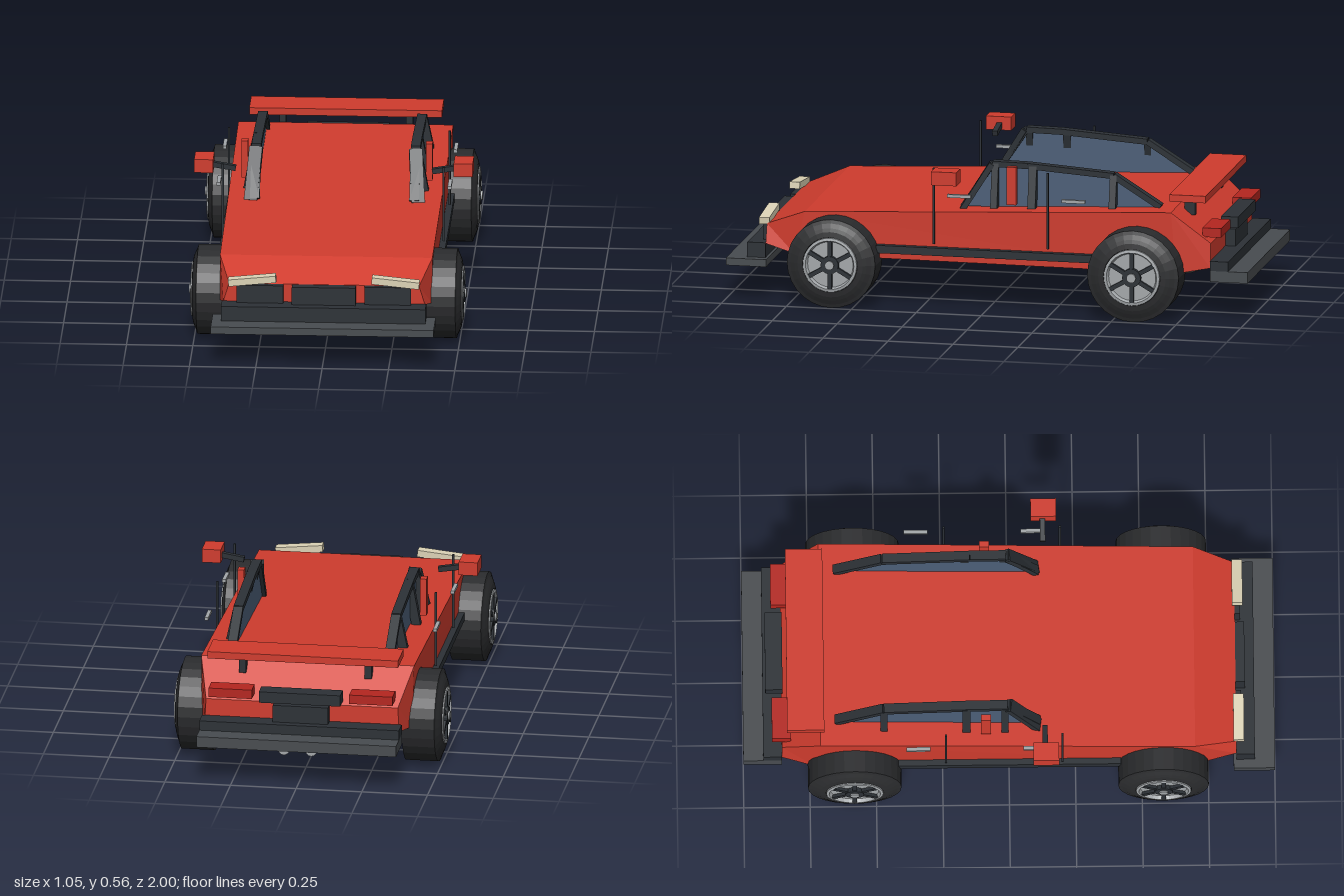
import * as THREE from 'three';

const mat = (color, extra = {}) => new THREE.MeshStandardMaterial({ color, flatShading: true, ...extra });
const RED = mat(0xd03c2e), DARK = mat(0x2c3136), BUMPER = mat(0x484c50), TYRE = mat(0x2a2b2d);
const METAL = mat(0xa4a8ab), CREAM = mat(0xdcd3b6), TAIL = mat(0xb5261f);
const GLASS = mat(0x4c5f78, { side: THREE.DoubleSide });

function add(parent, name, geometry, material) {
  const mesh = new THREE.Mesh(geometry, material);
  mesh.name = name;
  parent.add(mesh);
  return mesh;
}

// Box given by its limits on each axis
function box(parent, name, material, [x0, x1], [y0, y1], [z0, z1]) {
  const mesh = add(parent, name, new THREE.BoxGeometry(Math.abs(x1 - x0), y1 - y0, z1 - z0), material);
  mesh.position.set((x0 + x1) / 2, (y0 + y1) / 2, (z0 + z1) / 2);
  return mesh;
}

// Square bar between two points
function beam(parent, name, material, a, b, w, h = w) {
  const from = new THREE.Vector3(...a), to = new THREE.Vector3(...b);
  const mesh = new THREE.Mesh(new THREE.BoxGeometry(w, h, from.distanceTo(to)), material);
  mesh.name = name;
  mesh.position.copy(from).lerp(to, 0.5);
  mesh.lookAt(to);
  parent.add(mesh);
}

// Wedge hull lofted through four cross-sections, back to front
function bodyGeometry() {
  const sections = [
    { zb: -0.855, zt: -0.855, wb: 0.37, wt: 0.365, b: 0.195, t: 0.29 },
    { zb: -0.73, zt: -0.71, wb: 0.4, wt: 0.405, b: 0.175, t: 0.41 },
    { zb: 0.74, zt: 0.7, wb: 0.4, wt: 0.4, b: 0.182, t: 0.347 },
    { zb: 0.855, zt: 0.855, wb: 0.38, wt: 0.358, b: 0.212, t: 0.285 },
  ];
  const pos = [], index = [];
  for (const s of sections) {
    pos.push(-s.wb, s.b, s.zb, s.wb, s.b, s.zb, s.wt, s.t, s.zt, -s.wt, s.t, s.zt);
  }
  for (let i = 0; i < 3; i++) {
    for (let j = 0; j < 4; j++) {
      const a = i * 4 + j, b = i * 4 + (j + 1) % 4;
      index.push(a, b, b + 4, a, b + 4, a + 4);
    }
  }
  index.push(0, 2, 1, 0, 3, 2, 12, 13, 14, 12, 14, 15);
  const indexed = new THREE.BufferGeometry();
  indexed.setAttribute('position', new THREE.Float32BufferAttribute(pos, 3));
  indexed.setIndex(index);
  const g = indexed.toNonIndexed();
  g.computeVertexNormals();
  return g;
}

// Wheel with its outer face towards +x, origin at the hub
function makeWheel(name, r) {
  const wheel = new THREE.Group();
  wheel.name = name;
  const lathe = pts => new THREE.LatheGeometry(pts.map(p => new THREE.Vector2(p[0], p[1])), 28).rotateZ(-Math.PI / 2);
  add(wheel, 'tyre', lathe([[0, 0.365], [r, 0.365], [r, 0.488], [r * 0.92, 0.492], [r * 0.82, 0.5],
    [r * 0.74, 0.505], [r * 0.62, 0.508], [r * 0.6, 0.495], [0, 0.495]]), TYRE);
  add(wheel, 'rim', lathe([[r * 0.5, 0.494], [r * 0.61, 0.494], [r * 0.61, 0.512], [r * 0.55, 0.514], [r * 0.5, 0.494]]), METAL);
  add(wheel, 'brakeDisc', lathe([[0, 0.49], [r * 0.52, 0.49], [r * 0.52, 0.5], [0, 0.5]]), METAL);
  for (let i = 0; i < 6; i++) {
    const a = i * Math.PI / 3 + Math.PI / 6;
    const at = d => [0.507, Math.sin(a) * d, Math.cos(a) * d];
    beam(wheel, 'spoke', DARK, at(r * 0.1), at(r * 0.55), 0.012, 0.016);
  }
  add(wheel, 'hub', lathe([[0, 0.495], [r * 0.2, 0.495], [r * 0.2, 0.517], [0, 0.517]]), DARK);
  add(wheel, 'hubCap', lathe([[0, 0.515], [r * 0.1, 0.515], [r * 0.1, 0.523], [0, 0.523]]), METAL);
  return wheel;
}

// Side window: glass, outline rails and leaning pillars
function makeWindow(s) {
  const group = new THREE.Group();
  group.name = s > 0 ? 'leftWindow' : 'rightWindow';
  const outline = [[0.11, 0.375], [-0.005, 0.545], [-0.14, 0.543], [-0.47, 0.52], [-0.65, 0.408]];
  const shape = new THREE.Shape(outline.map(p => new THREE.Vector2(...p)));
  const glass = add(group, 'glass', new THREE.ExtrudeGeometry(shape, { depth: 0.012, bevelEnabled: false }).rotateY(-Math.PI / 2), GLASS);
  glass.position.x = s * 0.302 + 0.006;
  for (let i = 0; i < 4; i++) {
    const [za, ya] = outline[i], [zb, yb] = outline[i + 1];
    beam(group, 'frameRail', DARK, [s * 0.3, ya, za], [s * 0.3, yb, zb], 0.036, 0.022);
  }
  for (const [z, top, w] of [[-0.015, 0.545, 0.026], [-0.16, 0.54, 0.03], [-0.47, 0.52, 0.026]]) {
    beam(group, 'pillar', DARK, [s * 0.332, 0.378, z], [s * 0.302, top, z], w, 0.034);
  }
  beam(group, 'frontPillar', DARK, [s * 0.315, 0.368, 0.11], [s * 0.3, 0.545, 0], 0.05, 0.022);
  return group;
}

export function createModel() {
  const car = new THREE.Group();
  car.name = 'car';
  add(car, 'body', bodyGeometry(), RED);

  // Front bumper and grille
  box(car, 'frontSplitter', BUMPER, [-0.42, 0.42], [0.13, 0.158], [0.845, 1]);
  box(car, 'frontBumper', DARK, [-0.385, 0.385], [0.158, 0.215], [0.855, 0.925]);
  box(car, 'centreGrille', DARK, [-0.12, 0.12], [0.215, 0.284], [0.85, 0.89]);

  // Rear bumper, plate panel and spoiler
  box(car, 'rearBumper', BUMPER, [-0.38, 0.38], [0.145, 0.187], [-1, -0.855]);
  box(car, 'rearBumperStep', DARK, [-0.38, 0.38], [0.187, 0.224], [-0.925, -0.855]);
  box(car, 'platePanel', DARK, [-0.105, 0.105], [0.222, 0.29], [-0.895, -0.855]);
  box(car, 'rearBar', DARK, [-0.155, 0.155], [0.305, 0.348], [-0.915, -0.85]);
  box(car, 'spoiler', RED, [-0.363, 0.363], [0.443, 0.47], [-0.835, -0.695]);

  for (const s of [1, -1]) {
    const side = new THREE.Group();
    side.name = s > 0 ? 'leftSide' : 'rightSide';
    car.add(side);

    // Wheels
    for (const [name, r, z] of [['frontWheel', 0.17, 0.58], ['rearWheel', 0.176, -0.582]]) {
      const wheel = makeWheel(name, r);
      wheel.position.set(0, r, z);
      if (s < 0) wheel.rotation.y = Math.PI;
      side.add(wheel);
    }

    // Lights and grille panels
    box(side, 'sideGrille', DARK, [s * 0.153, s * 0.328], [0.215, 0.284], [0.85, 0.875]);
    box(side, 'headlight', CREAM, [s * 0.18, s * 0.36], [0.29, 0.316], [0.845, 0.885]).rotation.z = -s * 0.1;
    box(side, 'tailLight', TAIL, [s * 0.185, s * 0.35], [0.31, 0.345], [-0.892, -0.82]);

    // Sill, door lines and handles
    box(side, 'sill', DARK, [s * 0.39, s * 0.425], [0.205, 0.235], [-0.42, 0.42]);
    for (const z of [0.2, -0.238]) box(side, 'doorLine', DARK, [s * 0.412, s * 0.42], [0.25, 0.542], [z - 0.004, z + 0.004]);
    for (const z of [0.098, -0.342]) box(side, 'doorHandle', METAL, [s * 0.428, s * 0.442], [0.436, 0.448], [z - 0.045, z + 0.045]);

    // Cabin side
    side.add(makeWindow(s));
    box(side, 'redPost', RED, [s * 0.335, s * 0.36], [0.4, 0.545], [-0.105, -0.068]);

    // Wing mirror
    beam(side, 'mirrorArm', DARK, [s * 0.37, 0.505, 0.135], [s * 0.46, 0.52, 0.135], 0.02);
    box(side, 'mirror', RED, [s * 0.453, s * 0.525], [0.5, 0.552], [0.09, 0.187]);

    // Spoiler support and exhaust
    box(side, 'spoilerSupport', DARK, [s * 0.226, s * 0.252], [0.37, 0.445], [-0.77, -0.73]);
    const pipe = add(side, 'exhaust', new THREE.CylinderGeometry(0.022, 0.022, 0.1, 16).rotateX(Math.PI / 2), METAL);
    pipe.position.set(s * 0.052, 0.142, -0.918);
  }
  return car;
}
